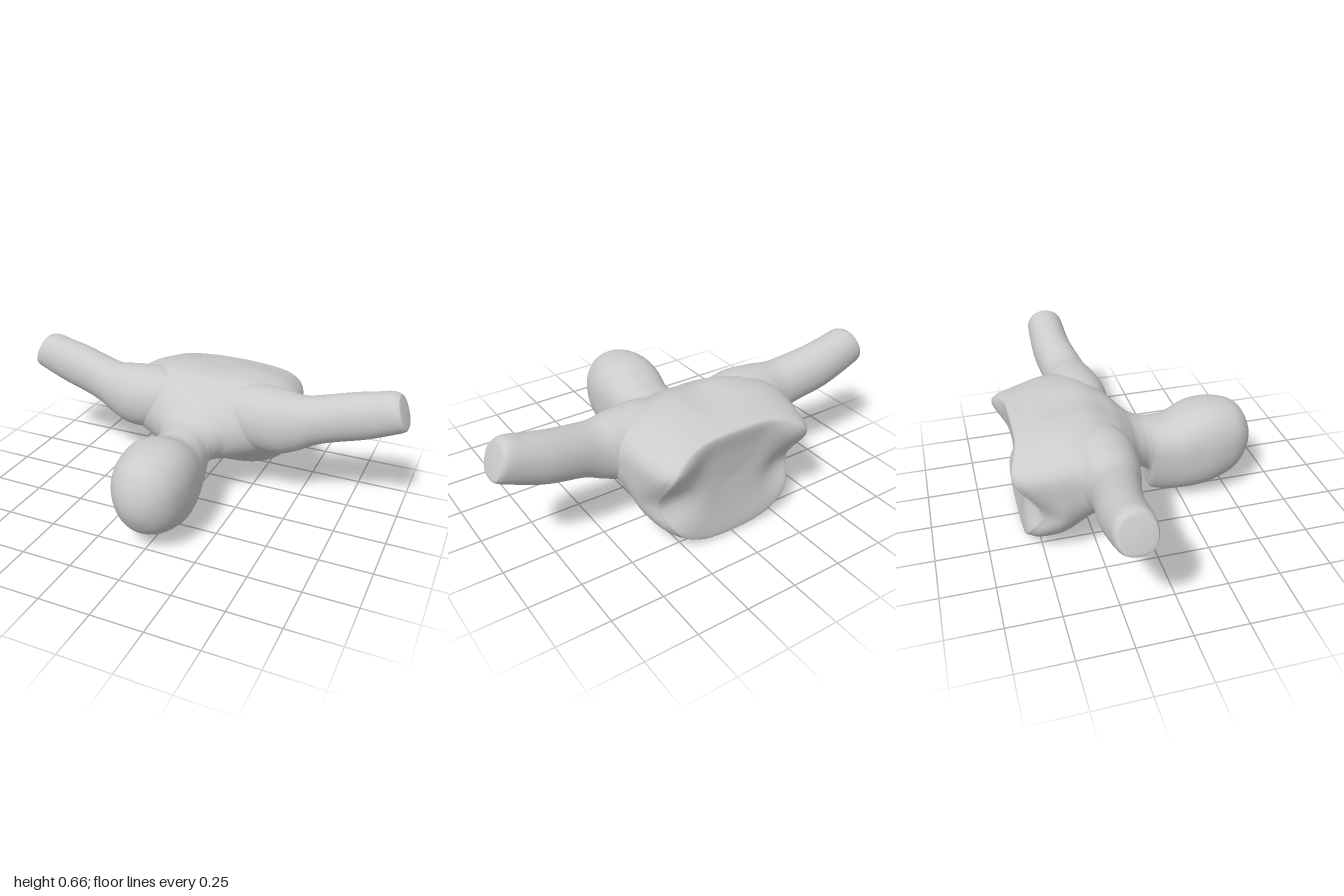
import * as THREE from 'three';

const material = new THREE.MeshStandardMaterial({ color: 0xcccccc, roughness: 0.8 });
const smooth = THREE.MathUtils.smoothstep;
const bell = (v, centre, width) => Math.exp(-(((v - centre) / width) ** 2));

// Smooth loft: rows are [station, halfWidth, top, bottom];
// section(s) gives the roundness and the relative height of the widest point
function loft(name, rows, section, place, steps = 6, sides = 56) {
  const columns = rows[0].map((_, k) =>
    new THREE.SplineCurve(rows.map((row, i) => new THREE.Vector2(i, row[k]))));
  const rings = (rows.length - 1) * steps;
  const positions = [], index = [];
  for (let i = 0; i <= rings; i++) {
    const [s, w, top, bottom] = columns.map((c) => c.getPoint(i / rings).y);
    const [n, widest] = section(s);
    const mid = bottom + widest * (top - bottom);
    for (let j = 0; j < sides; j++) {
      const a = (j / sides) * Math.PI * 2, ca = Math.cos(a), sa = Math.sin(a);
      const h = Math.sign(ca) * Math.abs(ca) ** (2 / n) * w;
      const v = Math.sign(sa) * Math.abs(sa) ** (2 / n);
      const y = mid + v * (v > 0 ? top - mid : mid - bottom);
      positions.push(...place(s, h, y));
      if (i < rings) {
        const p = i * sides + j, q = i * sides + ((j + 1) % sides);
        index.push(p, q, p + sides, q, q + sides, p + sides);
      }
    }
  }
  const geometry = new THREE.BufferGeometry();
  geometry.setAttribute('position', new THREE.Float32BufferAttribute(positions, 3));
  geometry.setIndex(index);
  geometry.computeVertexNormals();
  const mesh = new THREE.Mesh(geometry, material);
  mesh.name = name;
  return mesh;
}

// Torso, neck and head as one skin, from the cut rear end to the crown
const bodyRows = [
  [-0.55, 0.001, 0.3, 0.3],
  [-0.56, 0.2, 0.44, 0.16],
  [-0.575, 0.345, 0.54, 0.03],
  [-0.555, 0.38, 0.562, 0.01],
  [-0.5, 0.41, 0.575, 0.003],
  [-0.4, 0.437, 0.6, 0.03],
  [-0.3, 0.43, 0.612, 0.09],
  [-0.2, 0.4, 0.605, 0.15],
  [-0.1, 0.32, 0.56, 0.19],
  [-0.04, 0.235, 0.51, 0.208],
  [0, 0.175, 0.475, 0.215],
  [0.05, 0.142, 0.452, 0.2],
  [0.08, 0.135, 0.446, 0.165],
  [0.09, 0.134, 0.445, 0.075],
  [0.12, 0.137, 0.442, 0.045],
  [0.2, 0.155, 0.442, 0.035],
  [0.3, 0.174, 0.487, 0.04],
  [0.4, 0.18, 0.5, 0.058],
  [0.5, 0.162, 0.485, 0.09],
  [0.56, 0.128, 0.45, 0.135],
  [0.6, 0.08, 0.385, 0.2],
  [0.616, 0.035, 0.328, 0.25],
  [0.62, 0.001, 0.29, 0.29],
];

// Boxy and high-shouldered at the torso, round at the neck, fuller at the head;
// the widest point stays level where the chin drops away
const bodySection = (z) => [
  2.05 + 0.65 * (1 - smooth(z, -0.4, -0.05)) + 0.35 * bell(z, 0.32, 0.18),
  0.54 + 0.15 * (1 - smooth(z, -0.4, -0.1)) + 0.11 * smooth(z, 0.08, 0.09) * (1 - smooth(z, 0.1, 0.4)),
];

// Rear rim juts out at the upper corners and is notched at the sides;
// the flanks swell towards the arms and a shallow groove follows the spine
function placeBody(z, x, y) {
  const rear = 1 - smooth(z, -0.55, -0.38);
  const side = smooth(Math.abs(x), 0.12, 0.36);
  const rim = 0.075 * bell(y, 0.25, 0.09) - 0.05 * bell(y, 0.47, 0.09);
  const torso = smooth(z, -0.5, -0.35) * (1 - smooth(z, -0.15, 0));
  const groove = y > 0.45 ? 0.018 * torso * bell(x, 0, 0.08) : 0;
  const swell = 0.1 * Math.sign(x) * side * bell(z, -0.19, 0.11) * bell(y, 0.4, 0.14);
  return [x + swell, y - groove, z + rear * side * rim];
}

// Arm from inside the shoulder to the blunt end
const armRows = [
  [0.08, 0.1, 0.55, 0.34],
  [0.25, 0.152, 0.588, 0.275],
  [0.4, 0.143, 0.583, 0.262],
  [0.5, 0.119, 0.573, 0.295],
  [0.6, 0.107, 0.59, 0.345],
  [0.8, 0.1, 0.635, 0.4],
  [0.95, 0.094, 0.657, 0.462],
  [0.99, 0.086, 0.652, 0.482],
  [1, 0.07, 0.64, 0.498],
  [1.005, 0.001, 0.57, 0.57],
];
const armSection = () => [2.1, 0.5];

// The blunt end leans inward towards the top, and the arm drifts slightly back
const placeArm = (sign) => (s, h, y) => {
  const lean = smooth(s, 0.8, 0.98) * 0.37 * Math.max(0, y - 0.5);
  const drift = -0.2 - 0.037 * smooth(s, 0.45, 0.78);
  return [sign * (s - lean), y, drift - sign * h];
};

export function createModel() {
  const group = new THREE.Group();
  group.name = 'bust';
  group.add(loft('torsoNeckAndHead', bodyRows, bodySection, placeBody));
  group.add(loft('leftArm', armRows, armSection, placeArm(1), 6, 36));
  group.add(loft('rightArm', armRows, armSection, placeArm(-1), 6, 36));

  // Low nose and mouth relief on the downturned face
  const relief = new THREE.Mesh(new THREE.SphereGeometry(1, 24, 16), material);
  relief.name = 'noseAndMouth';
  relief.scale.set(0.07, 0.045, 0.12);
  relief.position.set(0, 0.068, 0.23);
  group.add(relief);
  return group;
}
